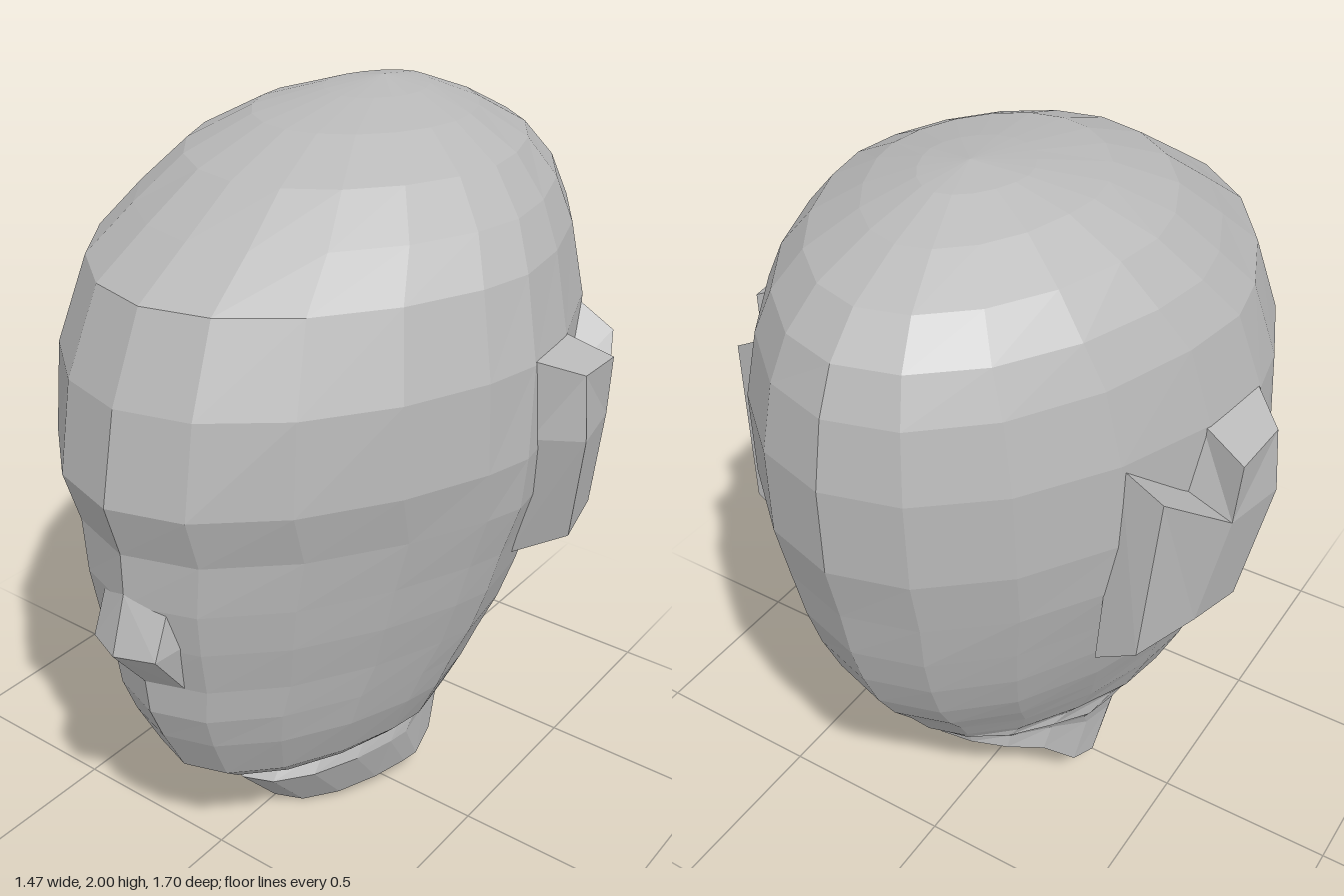
import * as THREE from 'three';
import { ConvexGeometry } from 'three/addons/geometries/ConvexGeometry.js';

const SIDES = 20;

// Head cross-sections from the neck rim up:
// [front y, front z, back y, back z, half width, how pointed the front is]
const RINGS = [
  [0.0, 0.26, 0.35, -0.44, 0.275, 1.75],
  [0.16, 0.40, 0.37, -0.45, 0.285, 1.65],
  [0.225, 0.35, 0.38, -0.46, 0.29, 1.65],
  [0.27, 0.35, 0.40, -0.48, 0.315, 1.4],
  [0.31, 0.57, 0.42, -0.50, 0.345, 1.4],
  [0.36, 0.63, 0.45, -0.52, 0.385, 1.45],
  [0.50, 0.70, 0.53, -0.575, 0.445, 1.5],
  [0.60, 0.74, 0.61, -0.64, 0.48, 1.6],
  [0.70, 0.75, 0.71, -0.70, 0.52, 1.65],
  [0.83, 0.78, 0.83, -0.75, 0.56, 1.65],
  [0.95, 0.80, 0.95, -0.785, 0.59, 1.7],
  [1.09, 0.80, 1.09, -0.81, 0.63, 1.7],
  [1.23, 0.84, 1.25, -0.845, 0.645, 1.55],
  [1.46, 0.79, 1.48, -0.845, 0.632, 1.38],
  [1.67, 0.69, 1.65, -0.81, 0.575, 1.32],
  [1.77, 0.53, 1.76, -0.76, 0.505, 1.25],
  [1.87, 0.37, 1.85, -0.67, 0.41, 1.15],
  [1.945, 0.17, 1.925, -0.52, 0.27, 1.1],
  [1.98, -0.05, 1.98, -0.37, 0.13, 1.1],
];
const CROWN = [0, 2, -0.23];

function flatGeometry(points, index) {
  const geometry = new THREE.BufferGeometry();
  geometry.setAttribute('position', new THREE.Float32BufferAttribute(points.flat(), 3));
  geometry.setIndex(index);
  const flat = geometry.toNonIndexed();
  flat.computeVertexNormals();
  return flat;
}

// Rise from front to back: gentle under the throat, then steep to the nape
const rise = (t) => (t < 0.57 ? 0.5 * t : t < 0.7 ? 0.285 + (t - 0.57) * 2.65 : 0.63 + (t - 0.7) * 1.23);

// Oval that is pointed at the front and tilted between its front and back heights
function ringPoints([yf, zf, yb, zb, w, point]) {
  const mid = (zf + zb) / 2 + 0.04 * (zf - zb);
  return Array.from({ length: SIDES }, (_, j) => {
    const a = (j / SIDES) * Math.PI * 2;
    const s = Math.sin(a), c = Math.cos(a);
    const x = w * Math.sign(s) * Math.abs(s) ** 1.03;
    const z = c > 0 ? mid + (zf - mid) * c ** point : mid - (mid - zb) * (-c) ** 1.25;
    return [x, yf + (yb - yf) * rise((zf - z) / (zf - zb)), z];
  });
}

function headGeometry() {
  const points = RINGS.flatMap(ringPoints);
  const index = [];
  const last = RINGS.length - 1;
  const at = (i, j) => i * SIDES + (j % SIDES);
  for (let j = 0; j < SIDES; j++) {
    for (let i = 0; i < last; i++) {
      const a = at(i, j), b = at(i, j + 1), c = at(i + 1, j + 1), d = at(i + 1, j);
      index.push(a, b, c, a, c, d);
    }
    index.push(at(last, j), at(last, j + 1), points.length);
  }
  points.push(CROWN);
  return flatGeometry(points, index);
}

// Wedge nose with a central ridge
function noseGeometry() {
  const points = [[0, 0.98, 0.80], [0, 0.83, 0.85], [0, 0.70, 0.75], [0, 0.83, 0.6]];
  for (const s of [-1, 1]) {
    points.push([s * 0.1, 0.95, 0.76], [s * 0.1, 0.83, 0.81], [s * 0.1, 0.70, 0.715], [s * 0.13, 0.85, 0.70]);
  }
  return new ConvexGeometry(points.map((p) => new THREE.Vector3(...p)));
}

// Notched ear slab: matching outlines on its outer face and where it meets the head
function earGeometry() {
  const outer = [
    [0.72, 1.43, -0.05], [0.735, 1.26, -0.05], [0.68, 0.95, -0.11], [0.65, 0.97, -0.27],
    [0.58, 0.95, -0.435], [0.61, 1.40, -0.405], [0.70, 1.26, -0.22], [0.71, 1.42, -0.21],
  ];
  const base = [
    [0.61, 1.48, 0.05], [0.62, 1.26, 0.02], [0.55, 0.885, -0.04], [0.53, 0.915, -0.24],
    [0.47, 0.885, -0.435], [0.50, 1.46, -0.405], [0.57, 1.31, -0.22], [0.58, 1.47, -0.17],
  ];
  const n = outer.length;
  // Outer face: a front panel, and a rear panel folded back towards the head
  const index = [0, 1, 6, 0, 6, 7, 1, 2, 3, 1, 3, 6, 3, 4, 5, 3, 5, 6];
  for (let i = 0; i < n; i++) {
    const k = (i + 1) % n;
    index.push(i, n + i, n + k, i, n + k, k);
  }
  return flatGeometry([...outer, ...base], index);
}

export function createModel() {
  const clay = new THREE.MeshStandardMaterial({ color: 0xb8b8b8, flatShading: true, side: THREE.DoubleSide });
  clay.name = 'grey clay';
  const model = new THREE.Group();
  model.name = 'head';
  const add = (name, geometry) => {
    const mesh = new THREE.Mesh(geometry, clay);
    mesh.name = name;
    model.add(mesh);
    return mesh;
  };
  add('skullAndNeck', headGeometry());
  add('nose', noseGeometry());
  const ear = earGeometry();
  add('leftEar', ear);
  add('rightEar', ear).scale.x = -1;
  return model;
}
